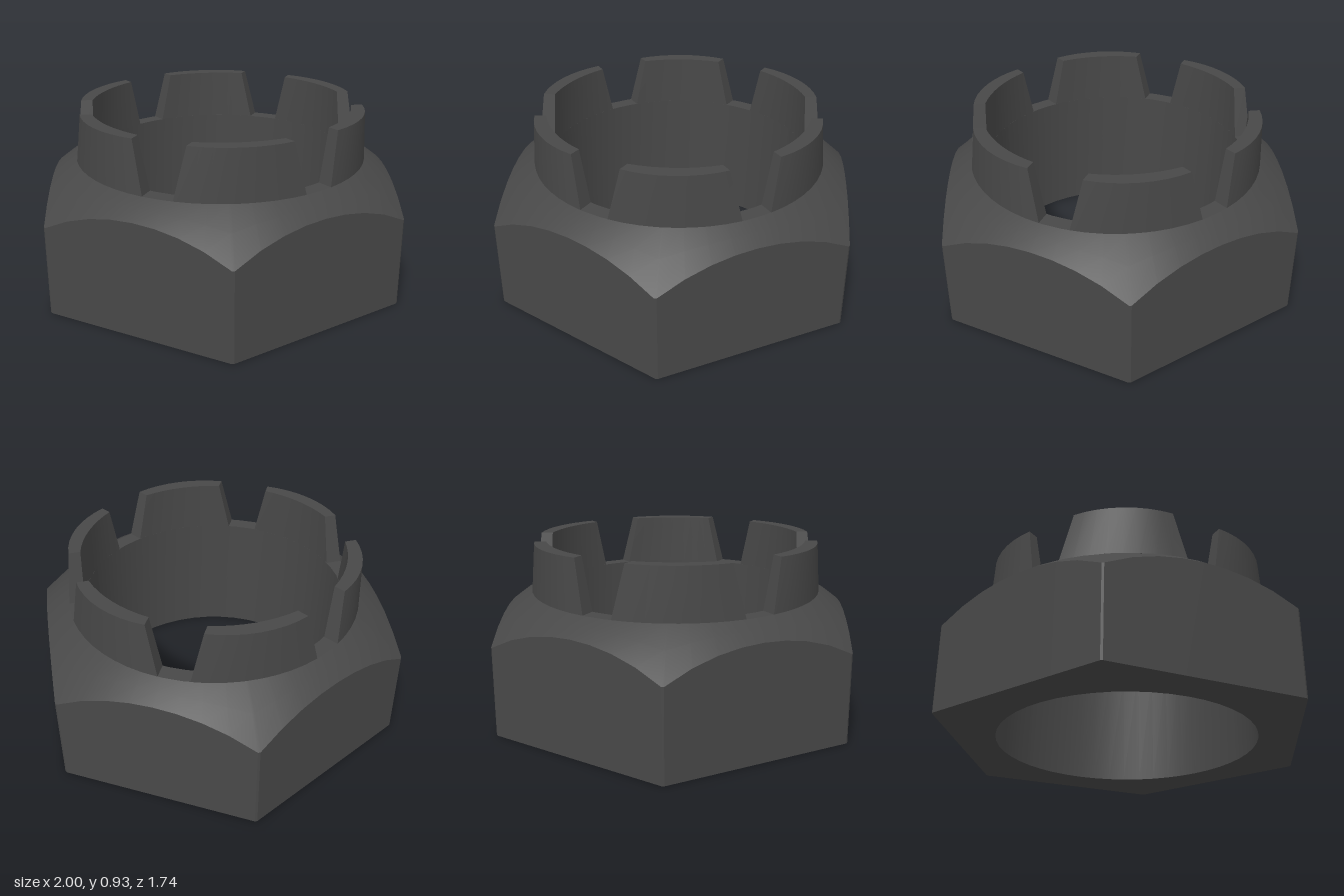
import * as THREE from 'three';
import { toCreasedNormals } from 'three/addons/utils/BufferGeometryUtils.js';

const RAD = Math.PI / 180;
const BORE = 0.67, COLLAR = 0.75, SHOULDER = 0.665, TOP = 0.925;
const FLAT = 0.869, CORNER = 1;

// Polar point: angle runs from +z towards +x
const polar = (r, y, a) => [r * Math.sin(a), y, r * Math.cos(a)];

// Skins a row of closed cross-sections, either joined into a ring or capped
function loft(sections, ring) {
  const pos = [];
  const quad = (a, b, c, d) => pos.push(...a, ...b, ...c, ...a, ...c, ...d);
  const n = sections.length, m = sections[0].length;
  for (let i = 0; i < (ring ? n : n - 1); i++) {
    const s = sections[i], e = sections[(i + 1) % n];
    for (let j = 0; j < m; j++) {
      const k = (j + 1) % m;
      quad(s[j], e[j], e[k], s[k]);
    }
  }
  if (!ring) {
    quad(...sections[0]);
    quad(...[...sections[n - 1]].reverse());
  }
  const geo = new THREE.BufferGeometry();
  geo.setAttribute('position', new THREE.Float32BufferAttribute(pos, 3));
  return toCreasedNormals(geo, 25 * RAD);
}

// Height of the slightly domed chamfer at a given radius
const chamferY = (r) => {
  const d = r - COLLAR;
  return SHOULDER - 0.538 * d - 1.13 * d * d;
};

// Hexagonal body with bore; the corners are clipped by a circle
function bodyGeometry() {
  const edge = Math.acos(FLAT / CORNER) / RAD;
  const sections = [];
  for (let face = 0; face < 6; face++) {
    for (const off of [-edge, -22.5, -15, -7.5, 0, 7.5, 15, 22.5, edge]) {
      const a = (face * 60 + off) * RAD;
      const r = FLAT / Math.cos(off * RAD);
      const mid = (r + COLLAR) / 2;
      sections.push([
        polar(BORE, 0, a),
        polar(r, 0, a),
        polar(r, chamferY(r), a),
        polar(mid, chamferY(mid), a),
        polar(COLLAR, SHOULDER, a),
        polar(BORE, SHOULDER, a),
      ]);
    }
  }
  return loft(sections, true);
}

// Curved tooth between two slots that widen upwards
function toothGeometry() {
  const steps = 8, sections = [];
  for (let i = 0; i <= steps; i++) {
    const t = i / steps, u = 2 * t - 1;
    const point = (r, y, halfSlot) => {
      const gap = Math.asin(halfSlot / r);
      return polar(r, y, gap + t * (60 * RAD - 2 * gap));
    };
    const topRadius = 0.744 - 0.016 * u * u;
    sections.push([
      point(BORE, SHOULDER, 0.0775),
      point(COLLAR, SHOULDER, 0.0775),
      point(topRadius, TOP, 0.135),
      point(BORE, TOP, 0.135),
    ]);
  }
  return loft(sections, false);
}

export function createModel() {
  const group = new THREE.Group();
  group.name = 'castleNut';
  const material = new THREE.MeshStandardMaterial({ color: 0x484848 });

  const body = new THREE.Mesh(bodyGeometry(), material);
  body.name = 'hexBody';
  group.add(body);

  // Six teeth around the collar
  const tooth = toothGeometry();
  for (let i = 0; i < 6; i++) {
    const mesh = new THREE.Mesh(tooth, material);
    mesh.name = `tooth${i + 1}`;
    mesh.rotation.y = (4.4 + i * 60) * RAD;
    group.add(mesh);
  }
  return group;
}
